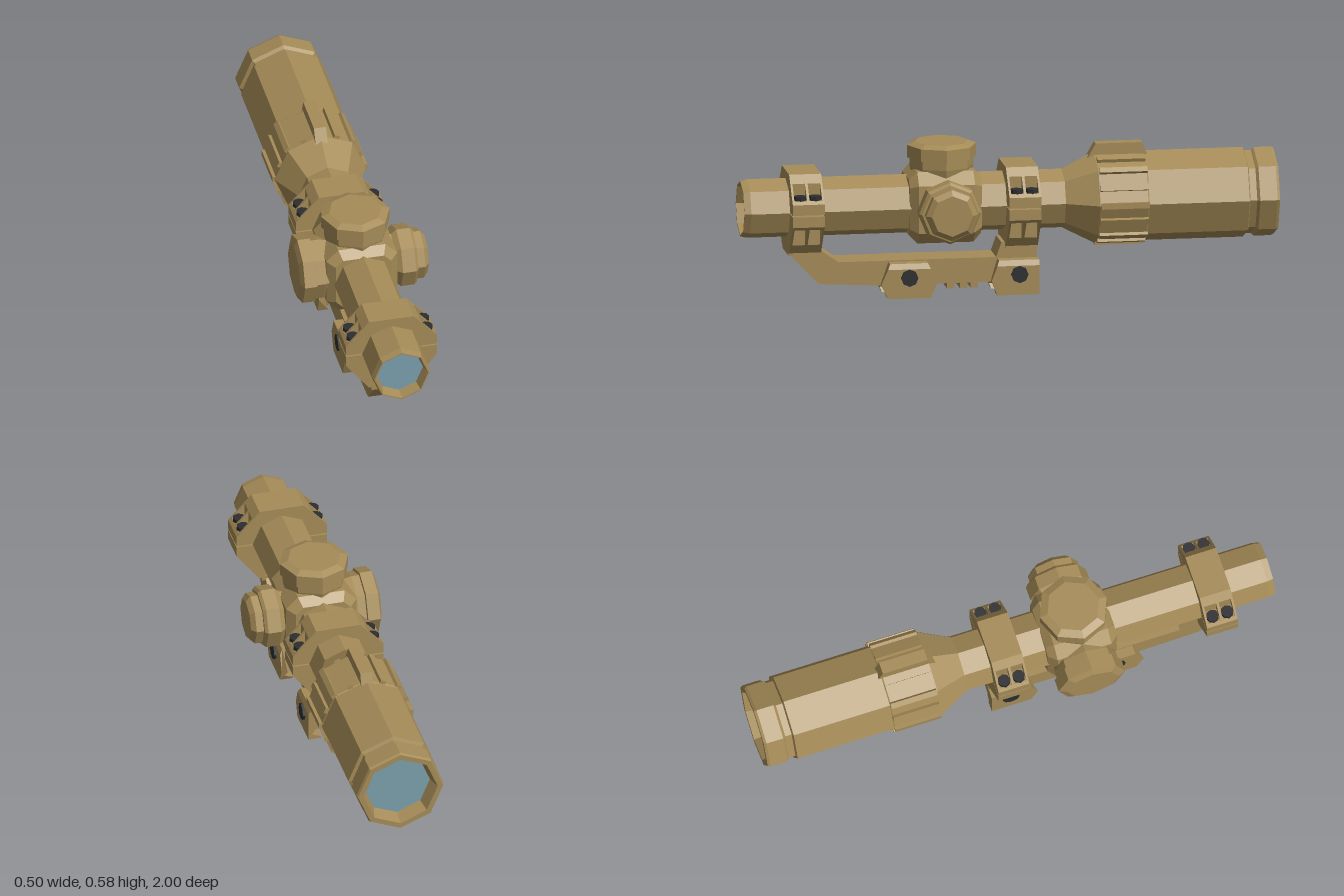
import * as THREE from 'three';

const AX = -0.015, AY = 0.347, KZ = 0.245; // optical axis and turret station
const mat = (color, extra) => new THREE.MeshStandardMaterial({ color, flatShading: true, ...extra });

export function createModel() {
  const root = new THREE.Group();
  const tan = mat(0xa58b57), dark = mat(0x2c2d30), glass = mat(0x7a9fac);

  const add = (name, geo, m, x = 0, y = 0, z = 0, parent = root) => {
    const mesh = new THREE.Mesh(geo, m);
    mesh.name = name;
    mesh.position.set(x, y, z);
    parent.add(mesh);
    return mesh;
  };
  const shape = pts => new THREE.Shape(pts.map(p => new THREE.Vector2(...p)));
  const extrude = (pts, depth, opts) =>
    new THREE.ExtrudeGeometry(shape(pts), { depth, bevelEnabled: false, ...opts });
  // outline given as (z, y), swept from x0 to x1
  const sideExtrude = (pts, x0, x1) => extrude(pts, x1 - x0).rotateY(-Math.PI / 2).translate(x1, 0, 0);
  // octagonal turning; points are (radius, height)
  const turned = pts => new THREE.LatheGeometry(pts.map(p => new THREE.Vector2(...p)), 8);

  // Main tube, eyepiece cone and barrel in one turning, open at both ends
  add('scopeTube', turned([
    [0.125, -0.945], [0.142, -1], [0.163, -1], [0.168, -0.99], [0.168, -0.925], [0.157, -0.915],
    [0.157, -0.89], [0.17, -0.885], [0.17, -0.51], [0.173, -0.505], [0.173, -0.325], [0.111, -0.205],
    [0.111, 0.975], [0.105, 1], [0.1, 1], [0.09, 0.955],
  ]).rotateX(Math.PI / 2), tan, AX, AY, 0);
  add('frontLens', new THREE.CircleGeometry(0.092, 8), glass, AX, AY, 0.957);
  add('rearLens', new THREE.CircleGeometry(0.128, 8).rotateY(Math.PI), glass, AX, AY, -0.948);

  // Ribbed zoom ring with a raised fin on top
  const zoom = new THREE.Group();
  zoom.name = 'zoomRing';
  zoom.position.set(AX, AY, -0.418);
  root.add(zoom);
  for (let i = 0; i < 16; i++) {
    const a = i * Math.PI / 8, r = i % 2 ? 0.163 : 0.171;
    add('gripRib', new THREE.BoxGeometry(0.022, 0.03, 0.18), tan,
      r * Math.sin(a) * 0.97, r * Math.cos(a) * 0.97, 0, zoom).rotation.z = -a;
  }
  add('zoomFin', sideExtrude([[-0.525, 0.5], [-0.505, 0.553], [-0.33, 0.553], [-0.3, 0.5]], -0.023, 0.023), tan, AX);

  // Turret housing: a cube with chamfered edges
  const w = 0.105, c = 0.035, h = w + 0.028;
  const oct = [[-h + c, -h], [h - c, -h], [h, -h + c], [h, h - c], [h - c, h], [-h + c, h], [-h, h - c], [-h, -h + c]]
    .map(([x, y]) => [x * 0.79, y * 0.79]);
  add('turretHousing', extrude(oct, 0.21, {
    bevelEnabled: true, bevelSegments: 1, bevelSize: 0.03, bevelThickness: 0.03,
  }), tan, AX, AY, KZ - 0.105);

  // Three turret knobs
  const cap = [[0, 0.1], [0.11, 0.1], [0.12, 0.142], [0.12, 0.172], [0.13, 0.174], [0.13, 0.221], [0.1, 0.233], [0, 0.233]];
  const focus = [[0, 0.1], [0.1, 0.1], [0.1, 0.135], [0.117, 0.155], [0.117, 0.205], [0.107, 0.216],
    [0.097, 0.217], [0.097, 0.245], [0.077, 0.262], [0, 0.262]];
  add('topTurret', turned(cap), tan, AX, AY, KZ);
  add('rightTurret', turned(cap).rotateZ(Math.PI / 2), tan, AX, AY, KZ);
  add('leftTurret', turned(focus).rotateZ(-Math.PI / 2), tan, AX, AY, KZ);

  // Clamp rings: upper and lower halves, sliced so the screw pockets are cut in
  const half = (height, pocket) => {
    const slant = x => 0.043 + (0.173 - x) / 0.088 * (height - 0.043);
    const edge = pocket
      ? [[0.173, 0.043], [0.162, 0.055], [0.112, 0.055], [0.112, slant(0.112)], [0.085, height]]
      : [[0.173, 0.043], [0.085, height]];
    const right = [[0.173, 0.003], ...edge];
    return [...right, ...right.map(([x, y]) => [-x, y]).reverse()];
  };
  const slices = [[0.008, 0], [0.047, 1], [0.01, 0], [0.047, 1], [0.008, 0]];
  for (const zc of [0.77, -0.043]) {
    const ring = new THREE.Group();
    ring.name = zc > 0 ? 'frontRing' : 'rearRing';
    ring.position.set(AX, AY, zc);
    root.add(ring);
    let z = -0.06;
    for (const [len, pocket] of slices) {
      add('ringUpper', extrude(half(0.141, pocket), len), tan, 0, 0, z, ring);
      add('ringLower', extrude(half(0.157, pocket), len), tan, 0, 0, z + 0, ring).rotation.z = Math.PI;
      if (pocket) for (const s of [-1, 1]) {
        add('ringScrew', new THREE.CylinderGeometry(0.024, 0.024, 0.03, 8), dark, s * 0.14, 0.055, z + len / 2, ring);
      }
      z += len;
    }
    add('ringSaddle', new THREE.BoxGeometry(0.15, 0.04, 0.12), tan, 0, -0.149, 0, ring);
  }

  // Cantilever mount body
  add('mountBody', sideExtrude([
    [0.83, 0.2], [0.83, 0.185], [0.715, 0.065], [0.49, 0.052], [-0.103, 0.052], [-0.103, 0.2],
    [0.03, 0.2], [0.05, 0.145], [0.64, 0.145], [0.705, 0.19], [0.705, 0.2],
  ].reverse(), -0.077, 0.048), tan);
  for (const z of [0.218, 0.17, 0.13]) {
    add('recoilLug', new THREE.BoxGeometry(0.1, 0.03, 0.028), tan, -0.015, 0.044, z);
  }

  // Rail clamps: jaws narrow towards their top and bottom edges
  const jaws = {
    rightJaw: [[-0.113, 0], [-0.072, 0], [-0.084, 0.018], [-0.06, 0.05], [-0.06, 0.138], [-0.113, 0.138], [-0.113, 0.065]],
    leftJaw: [[0.052, 0.01], [0.1, 0.01], [0.1, 0.065], [0.1, 0.12], [0.09, 0.14], [0.04, 0.14], [0.04, 0.055],
      [0.075, 0.05], [0.085, 0.03], [0.052, 0.018]],
  };
  for (const [zc, squareBack] of [[0.383, false], [-0.015, true]]) {
    for (const [name, pts] of Object.entries(jaws)) {
      const geo = extrude(pts, 2), p = geo.attributes.position;
      for (let i = 0; i < p.count; i++) {
        const y = p.getY(i), front = p.getZ(i) > 1;
        const reach = 0.105 - Math.abs(y - 0.065) * 0.45;
        p.setZ(i, front ? reach * (squareBack ? 0.85 : 1) : -(squareBack ? 0.09 : reach));
      }
      add(name, geo, tan, 0, 0, zc);
    }
    const bz = squareBack ? -0.03 : zc;
    add('clampBolt', new THREE.CylinderGeometry(0.032, 0.032, 0.228, 8).rotateZ(Math.PI / 2), dark, -0.005, 0.088, bz);
  }
  return root;
}
